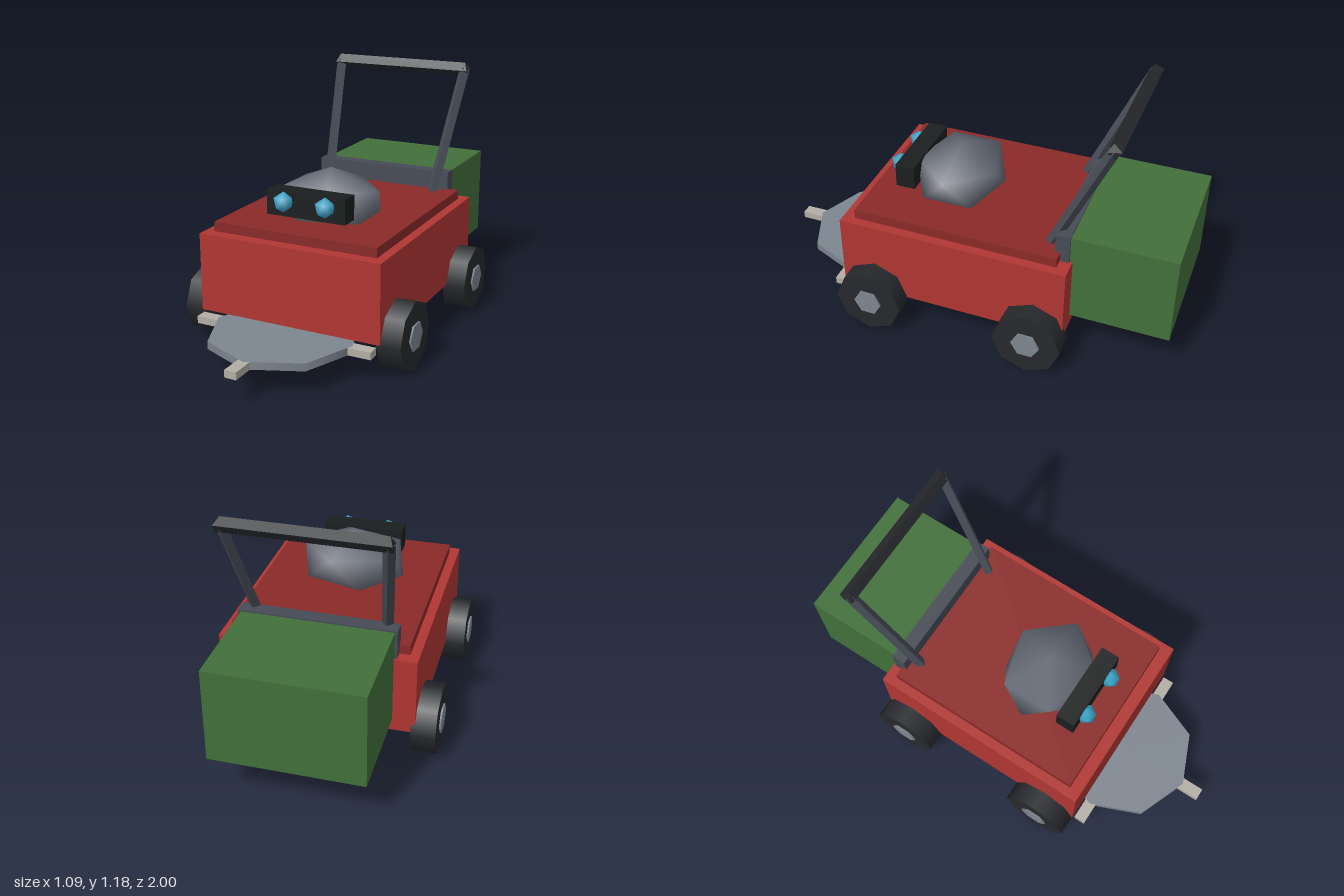
import * as THREE from 'three';

const paint = (color, flat = false) => new THREE.MeshStandardMaterial({ color, flatShading: flat });

// Low-poly ball: two staggered rings of five between two poles, smooth shaded
function ballGeometry(rx, ry, rz) {
  const pos = [0, 1, 0], index = [];
  const h = 1 / Math.sqrt(5), r = 2 * h;
  for (const [y, offset] of [[h, 0], [-h, Math.PI / 5]]) {
    for (let k = 0; k < 5; k++) {
      const a = offset + k * Math.PI * 0.4;
      pos.push(r * Math.cos(a), y, r * Math.sin(a));
    }
  }
  pos.push(0, -1, 0);
  for (let k = 0; k < 5; k++) {
    const n = (k + 1) % 5;
    const u = 1 + k, u2 = 1 + n, l = 6 + k, l2 = 6 + n;
    index.push(0, u2, u, u, u2, l, l, u2, l2, 11, l, l2);
  }
  const g = new THREE.BufferGeometry();
  g.setAttribute('position', new THREE.Float32BufferAttribute(pos, 3));
  g.setIndex(index);
  g.scale(rx, ry, rz);
  g.computeVertexNormals();
  return g;
}

export function createModel() {
  const model = new THREE.Group();
  model.name = 'lawnMower';

  const red = paint(0xb03632), darkRed = paint(0x8a2a28), green = paint(0x42703a);
  const rubber = paint(0x26282c), steel = paint(0x7d858f), blade = paint(0xb2aea5);
  const iron = paint(0x464b55), engineGrey = paint(0x656a75), black = paint(0x1b1e1f);
  const cyan = paint(0x38a4c8), legGrey = paint(0x464b55, true), grip = paint(0x26282c, true);

  const add = (name, geometry, material, x, y, z, parent = model) => {
    const mesh = new THREE.Mesh(geometry, material);
    mesh.name = name;
    mesh.position.set(x, y, z);
    parent.add(mesh);
    return mesh;
  };
  // Box given by its limits on each axis
  const box = (name, material, [x0, x1], [y0, y1], [z0, z1]) =>
    add(name, new THREE.BoxGeometry(x1 - x0, y1 - y0, z1 - z0), material,
      (x0 + x1) / 2, (y0 + y1) / 2, (z0 + z1) / 2);

  // Deck, lid, rear plate and grass bin
  box('deck', red, [-0.443, 0.443], [0.163, 0.527], [-0.543, 0.536]);
  box('lid', darkRed, [-0.4, 0.4], [0.5, 0.572], [-0.488, 0.479]);
  box('rearPlate', iron, [-0.352, 0.352], [0.48, 0.66], [-0.53, -0.464]);
  box('grassBin', green, [-0.34, 0.34], [0.218, 0.653], [-1, -0.52]);

  // Engine dome with the lamp box and two lamps
  add('engine', ballGeometry(0.27, 0.155, 0.227), engineGrey, 0, 0.63, 0.11);
  box('lampBox', black, [-0.194, 0.194], [0.605, 0.72], [0.27, 0.362]);
  for (const s of [1, -1]) {
    add(s > 0 ? 'leftLamp' : 'rightLamp', ballGeometry(0.048, 0.048, 0.048), cyan, s * 0.103, 0.675, 0.374);
  }

  // Wheels with hubs that poke out on both sides
  const tyre = new THREE.CylinderGeometry(0.16, 0.16, 0.113, 8).rotateZ(Math.PI / 2);
  const hub = new THREE.CylinderGeometry(0.067, 0.067, 0.13, 6).rotateZ(Math.PI / 2);
  for (const s of [1, -1]) {
    for (const z of [0.373, -0.402]) {
      const wheel = new THREE.Group();
      wheel.name = (z > 0 ? 'front' : 'rear') + (s > 0 ? 'Left' : 'Right') + 'Wheel';
      wheel.position.set(s * 0.479, 0.16, z);
      add('tyre', tyre, rubber, 0, 0, 0, wheel);
      add('hub', hub, steel, 0, 0, 0, wheel);
      model.add(wheel);
    }
  }

  // Cutting disc with four teeth
  const cutter = new THREE.Group();
  cutter.name = 'cutter';
  cutter.position.set(0, 0.138, 0.57);
  add('cutterDisc', new THREE.CylinderGeometry(0.335, 0.335, 0.035, 8), steel, 0, 0, 0, cutter);
  for (let i = 0; i < 4; i++) {
    const tooth = new THREE.BoxGeometry(0.055, 0.034, 0.18).translate(0, 0, 0.34);
    add('cutterTooth', tooth, blade, 0, 0, 0, cutter).rotation.y = i * Math.PI / 2;
  }
  model.add(cutter);

  // Handle legs, leaning back and outwards
  for (const s of [1, -1]) {
    const a = new THREE.Vector3(s * 0.284, 0.54, -0.415);
    const b = new THREE.Vector3(s * 0.342, 1.143, -0.685);
    const dir = b.clone().sub(a);
    const mid = a.clone().lerp(b, 0.5);
    const leg = add(s > 0 ? 'leftHandleLeg' : 'rightHandleLeg',
      new THREE.CylinderGeometry(0.026, 0.026, dir.length(), 4), legGrey, mid.x, mid.y, mid.z);
    leg.quaternion.setFromUnitVectors(new THREE.Vector3(0, 1, 0), dir.normalize());
  }

  // Handle bar: tilted diamond section, its upper corners drawn in at the ends
  const bar = new THREE.CylinderGeometry(0.033, 0.033, 0.724, 4).rotateZ(Math.PI / 2).rotateX(0.2);
  const p = bar.attributes.position;
  for (let i = 0; i < p.count; i++) {
    if (p.getY(i) > 0.02) p.setX(i, Math.sign(p.getX(i)) * 0.345);
  }
  add('handleBar', bar, grip, 0, 1.143, -0.687);

  return model;
}
